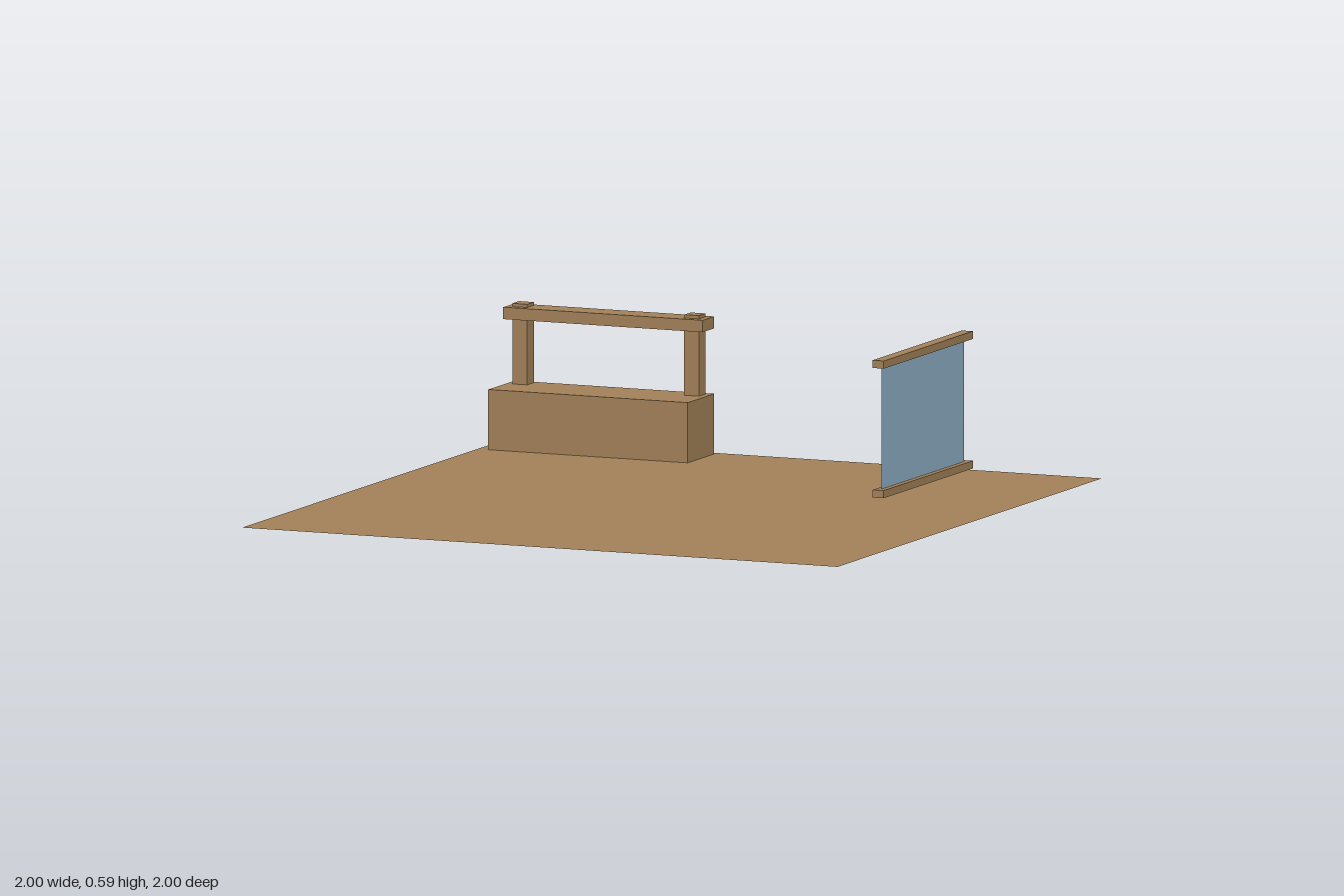
import * as THREE from 'three';

export function createModel() {
  const model = new THREE.Group();
  model.name = 'room';

  const wood = new THREE.MeshStandardMaterial({ color: 0xa6835a, side: THREE.DoubleSide });
  wood.name = 'wood';
  const blue = new THREE.MeshStandardMaterial({ color: 0x91b3c8, side: THREE.DoubleSide });
  blue.name = 'pane blue';

  // Box given by its minimum and maximum corners
  function box(parent, name, [x0, y0, z0], [x1, y1, z1]) {
    const mesh = new THREE.Mesh(new THREE.BoxGeometry(x1 - x0, y1 - y0, z1 - z0), wood);
    mesh.position.set((x0 + x1) / 2, (y0 + y1) / 2, (z0 + z1) / 2);
    mesh.name = name;
    parent.add(mesh);
  }

  // Floor sheet
  const floor = new THREE.Mesh(new THREE.PlaneGeometry(2, 2), wood);
  floor.rotation.x = -Math.PI / 2;
  floor.name = 'floor';
  model.add(floor);

  // Counter with two posts passing through a rail
  const counter = new THREE.Group();
  counter.name = 'counter';
  box(counter, 'counterBase', [-0.963, 0, -0.978], [-0.293, 0.187, -0.778]);
  for (const x of [-0.917, -0.34]) {
    box(counter, 'post', [x - 0.025, 0.187, -0.963], [x + 0.025, 0.437, -0.913]);
  }
  box(counter, 'rail', [-0.963, 0.39, -0.978], [-0.293, 0.427, -0.89]);
  model.add(counter);

  // Hanging window: a thin pane between two bars
  const hanging = new THREE.Group();
  hanging.name = 'window';
  for (const y of [0.177, 0.579]) {
    box(hanging, 'windowBar', [0.963, y - 0.012, -0.023], [1, y + 0.012, 0.65]);
  }
  const pane = new THREE.Mesh(new THREE.PlaneGeometry(0.625, 0.4), blue);
  pane.rotation.y = Math.PI / 2;
  pane.position.set(0.982, 0.378, 0.314);
  pane.name = 'windowPane';
  hanging.add(pane);
  model.add(hanging);

  return model;
}
